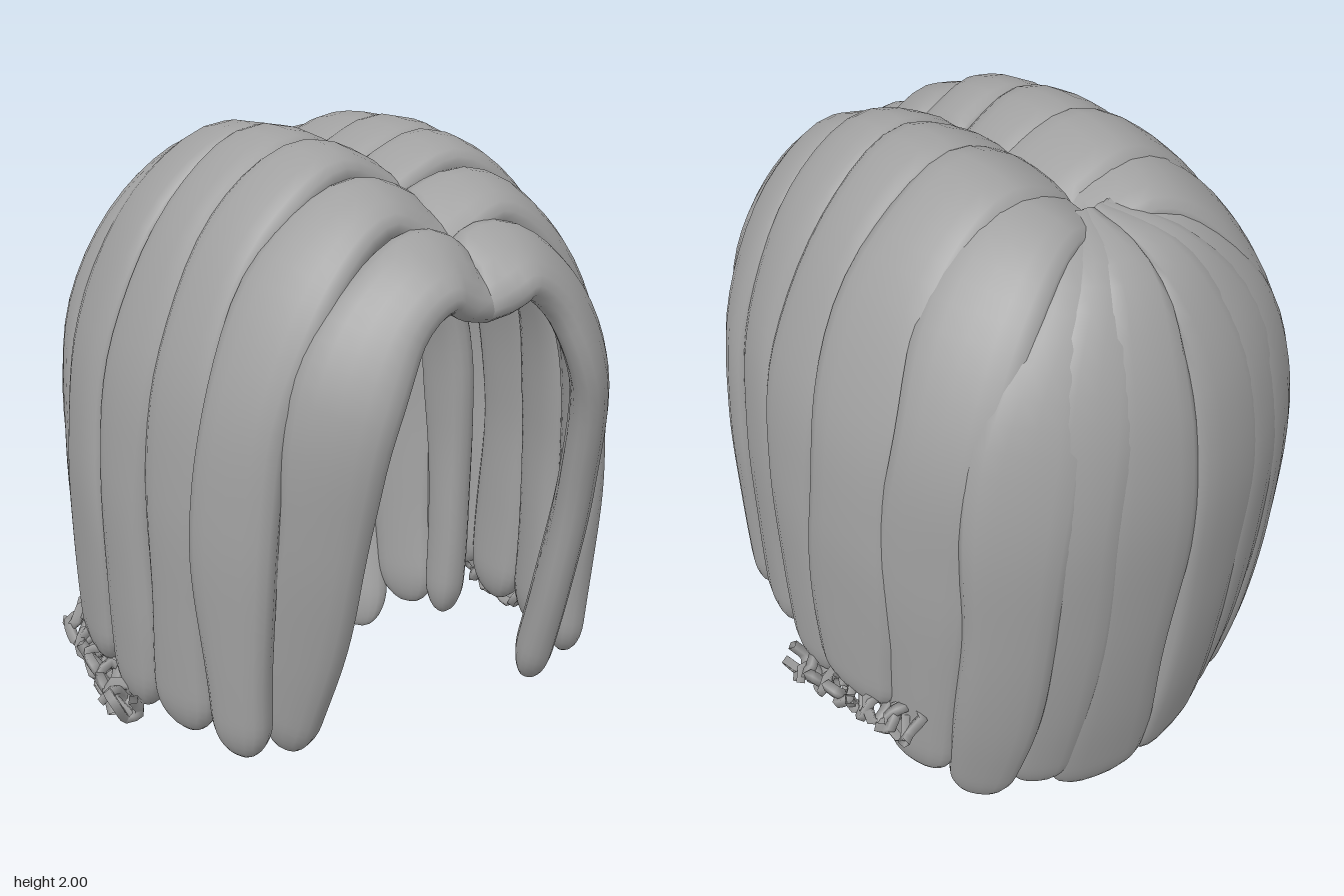
import * as THREE from 'three';

const hair = new THREE.MeshStandardMaterial({ color: 0xa0a0a0 });
hair.name = 'hairGrey';
hair.side = THREE.DoubleSide;

// Side locks: z at root, middle and tip; peak height, reach in x, tip height; half widths
const SIDE_LOCKS = {
  frontLock: [.69, .72, .49, 1.70, .44, .31, .14, .08],
  templeLock: [.49, .51, .48, 1.83, .60, .34, .14, .09],
  cheekLock: [.27, .29, .28, 1.92, .65, .34, .13, .11],
  sideLock: [.05, .06, .04, 1.945, .69, .33, .14, .11],
  earLock: [-.16, -.22, -.20, 1.935, .69, .38, .17, .16],
  rearSideLock: [-.31, -.49, -.36, 1.88, .61, .17, .16, .12],
  underLock: [-.05, -.05, -.05, 1.74, .52, .28, .10, .06],
};
// Back locks fan from the crown: reach in x, z at middle and tip, tip height; half widths
const BACK_LOCKS = {
  outerBackLock: [.49, -.67, -.49, .05, .15, .10],
  innerBackLock: [.34, -.74, -.57, .08, .14, .10],
  centreBackLock: [.15, -.79, -.62, .005, .16, .16],
};

const { lerp } = THREE.MathUtils;
const softPower = (v, p) => Math.sign(v) * Math.abs(v) ** p;
const fall = (i) => Math.max(0, (i - 3) / 3);

// Rises from the parting, arches over the side and hangs straight down
function sidePath([zRoot, zMid, zTip, peak, reach, yTip]) {
  const across = [0, .31, .66, .92, 1, 1, .98];
  const drop = [.11, 0, .24, .75];
  return across.map((f, i) => new THREE.Vector3(
    f * reach,
    lerp(peak - drop[Math.min(i, 3)] * reach, yTip, fall(i)),
    lerp(lerp(zRoot, zMid, Math.min(i / 3, 1)), zTip, fall(i) ** 1.3)));
}

// Runs from the crown over the back of the head and curls in below
function backPath([reach, zMid, zTip, yTip]) {
  const across = [.1, .35, .75, .95, 1, 1, .95];
  const back = [0, .5, .85, 1], height = [1.84, 1.79, 1.57, 1.25];
  return across.map((f, i) => {
    const k = Math.min(i, 3);
    return new THREE.Vector3(
      f * reach,
      lerp(height[k], yTip, fall(i)),
      lerp(lerp(-.38, zMid, back[k]), zTip, fall(i) ** 2));
  });
}

// Flattened, rounded strand swept along a path, facing away from the head;
// turn sets how far it faces forward or back, inner is its depth towards the head
function lockGeometry(path, [root, mid, tip], turn, inner, side, seed) {
  const curve = new THREE.CatmullRomCurve3(path.map((p) => p.setX(p.x * side)));
  const rings = 40, sides = 16, pos = [], index = [];
  const n = new THREE.Vector3(), s = new THREE.Vector3(), v = new THREE.Vector3();
  for (let i = 0; i <= rings; i++) {
    const t = 1 - (1 - i / rings) ** 1.6, p = curve.getPoint(t), tangent = curve.getTangent(t);
    n.set(p.x, Math.max(0, p.y - 1.1), p.z * turn);
    s.crossVectors(n, tangent).normalize();
    n.crossVectors(tangent, s).normalize();
    const k = Math.max(0, (t - 0.94) / 0.06);
    const round = Math.sqrt(Math.max(0, 1 - k * k));
    const base = t < .4 ? lerp(root, mid, t / .4) : lerp(mid, tip, Math.max(0, (t - .6) / .4));
    const w = base * round * (1 + 0.06 * Math.sin(t * 17 + seed));
    const bend = 0.01 * Math.sin(t * 11 + seed * 2) * t;
    for (let j = 0; j < sides; j++) {
      const a = j / sides * Math.PI * 2, q = Math.sin(a);
      const h = (q > 0 ? 0.055 : inner) * round;
      v.copy(p).addScaledVector(s, w * softPower(Math.cos(a), 0.85) + bend).addScaledVector(n, h * softPower(q, 0.8));
      // Keep to one side of the parting; root rings of side locks meet it exactly
      const x = i === 0 && Math.abs(p.x) < 1e-6 ? 0 : side * Math.max(0, side * v.x);
      pos.push(x, Math.max(0, v.y), v.z);
    }
  }
  for (let i = 0; i < rings; i++) for (let j = 0; j < sides; j++) {
    const a = i * sides + j, b = i * sides + (j + 1) % sides;
    index.push(a, b, a + sides, b, b + sides, a + sides);
  }
  const g = new THREE.BufferGeometry();
  g.setAttribute('position', new THREE.Float32BufferAttribute(pos, 3));
  g.setIndex(index);
  g.computeVertexNormals();
  return g;
}

// Small tangled curl at the end of a side lock
function curlGeometry(x, y, z, side, seed) {
  const pts = [];
  for (let i = 0; i < 9; i++) {
    const a = i * 1.35 + seed;
    pts.push(new THREE.Vector3(
      side * (x + 0.04 * Math.cos(a)),
      y + 0.045 * Math.sin(a * 1.3),
      z + (i - 4) * 0.013 + 0.03 * Math.sin(a * 2)));
  }
  return new THREE.TubeGeometry(new THREE.CatmullRomCurve3(pts), 24, 0.018, 4);
}

export function createModel() {
  const model = new THREE.Group();
  model.name = 'hair';
  const add = (geometry, name) => {
    const mesh = new THREE.Mesh(geometry, hair);
    mesh.name = name;
    model.add(mesh);
  };
  for (const side of [1, -1]) {
    const label = side > 0 ? 'Left' : 'Right';
    Object.entries(SIDE_LOCKS).forEach(([name, spec], i) => {
      const [mid, tip] = spec.slice(6);
      add(lockGeometry(sidePath(spec), [mid * 0.9, mid, tip], 0.6, 0.055, side, i * 1.7), name + label);
    });
    Object.entries(BACK_LOCKS).forEach(([name, spec], i) => {
      const [mid, tip] = spec.slice(4);
      add(lockGeometry(backPath(spec), [0.05, mid, tip], 1, 0.045, side, i * 2.3), name + label);
    });
    // Curled ends along the lower edge
    for (let i = 0; i < 7; i++) {
      add(curlGeometry(.75 - i * .012, .34 + i * .015, .05 - i * .075, side, i * 2.1), 'curledEnd' + label);
    }
  }
  return model;
}
